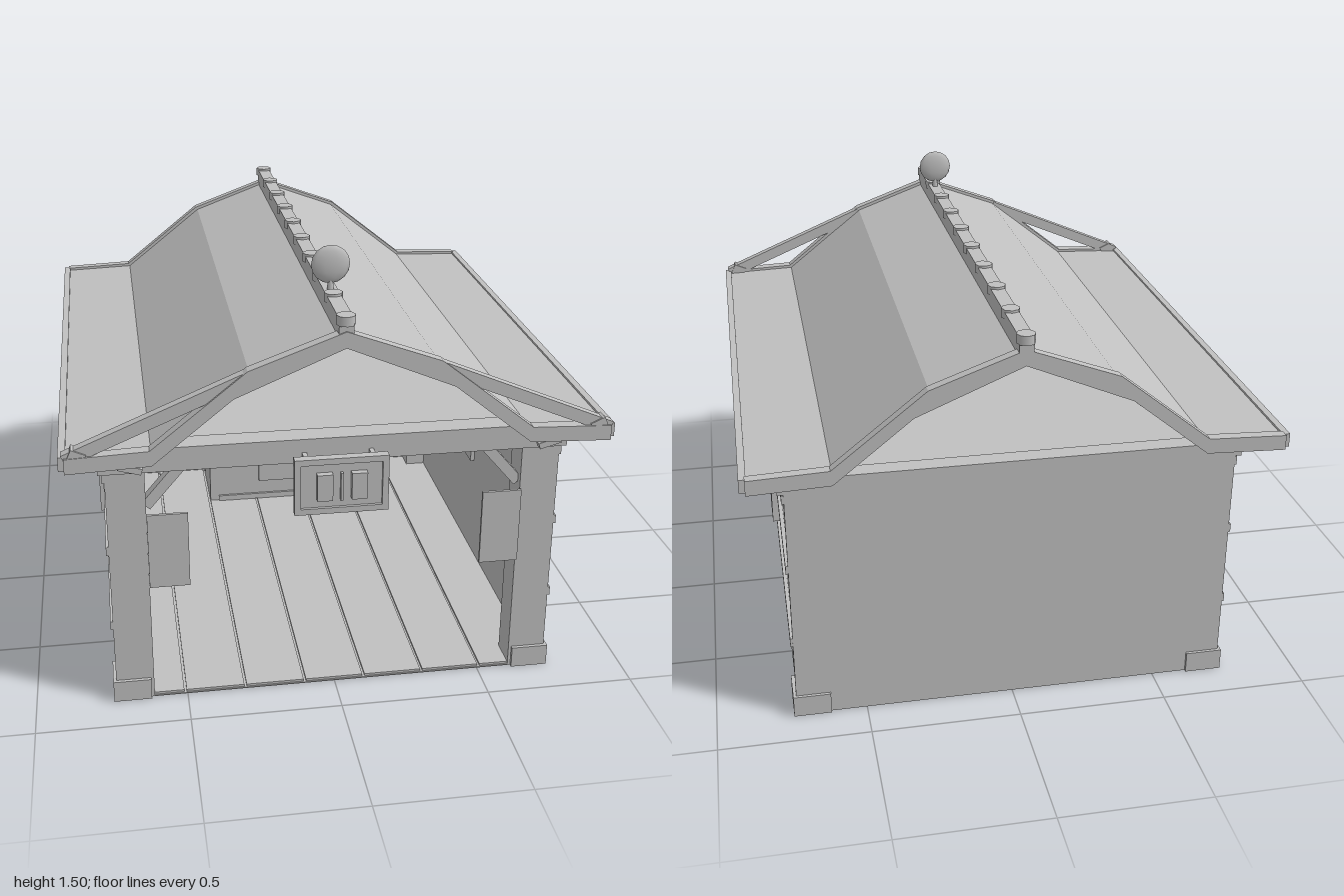
import * as THREE from 'three';

export function createModel() {
  const model = new THREE.Group();
  const grey = new THREE.MeshStandardMaterial({ color: 0xc0c0c0 });
  grey.name = 'plain grey';

  const add = (name, geo) => {
    const m = new THREE.Mesh(geo, grey);
    m.name = name;
    model.add(m);
    return m;
  };
  // Box given by its minimum and maximum on each axis
  const box = (name, x0, x1, y0, y1, z0, z1) => {
    const m = add(name, new THREE.BoxGeometry(Math.abs(x1 - x0), y1 - y0, z1 - z0));
    m.position.set((x0 + x1) / 2, (y0 + y1) / 2, (z0 + z1) / 2);
    return m;
  };
  // Slanted bar between two points in the xy plane
  const bar = (name, x0, y0, x1, y1, thick, z, depth) => {
    const m = add(name, new THREE.BoxGeometry(Math.hypot(x1 - x0, y1 - y0), thick, depth));
    m.position.set((x0 + x1) / 2, (y0 + y1) / 2, z);
    m.rotation.z = Math.atan2(y1 - y0, x1 - x0);
    return m;
  };
  // Symmetric roof section: half outlines run from ridge to eave
  const roofSection = (name, outer, inner, z0, z1) => {
    const mirror = (pts) => pts.slice(1).reverse().map(([x, y]) => [-x, y]);
    const pts = [...mirror(outer), ...outer, ...inner.slice().reverse(), ...inner.slice(1).map(([x, y]) => [-x, y])];
    const shape = new THREE.Shape(pts.map(([x, y]) => new THREE.Vector2(x, y)));
    const geo = new THREE.ExtrudeGeometry(shape, { depth: z1 - z0, bevelEnabled: false });
    geo.translate(0, 0, z0);
    return add(name, geo);
  };

  // Base and floor planks with narrow gaps
  box('base', -0.73, 0.73, 0, 0.004, -0.86, 0.855);
  const planks = 7, plankWidth = 1.42 / planks;
  for (let i = 0; i < planks; i++) {
    const x = -0.71 + i * plankWidth;
    box('floorPlank', x + 0.004, x + plankWidth - 0.004, 0.004, 0.012, -0.84, 0.85);
  }

  // Shell
  box('backWall', -0.735, 0.735, 0, 0.85, -0.865, -0.83);
  box('frontBeam', -0.755, 0.755, 0.835, 0.915, 0.785, 0.865);
  box('backBeam', -0.755, 0.755, 0.835, 0.885, -0.868, -0.805);
  box('ceiling', -0.735, 0.735, 0.835, 0.872, -0.805, 0.785);

  for (const s of [-1, 1]) {
    // Side wall, posts and feet
    box('sideWall', s * 0.7, s * 0.73, 0, 0.835, -0.86, 0.84);
    box('frontPost', s * 0.61, s * 0.735, 0, 0.835, 0.75, 0.855);
    box('frontFoot', s * 0.62, s * 0.745, 0, 0.075, 0.74, 0.867);
    box('backFoot', s * 0.62, s * 0.745, 0, 0.075, -0.875, -0.75);
    bar('cornerBrace', s * 0.61, 0.7, s * 0.49, 0.84, 0.035, 0.81, 0.04);

    // Outer wall battens and shutters
    for (const y of [0.27, 0.545, 0.8])
      box('wallBatten', s * 0.725, s * 0.743, y, y + 0.03, -0.862, 0.853);
    for (const z of [0.0625, -0.195])
      box('shutter', s * 0.728, s * 0.76, 0.365, 0.605, z, z + 0.125);
    box('windowFrame', s * 0.728, s * 0.745, 0.395, 0.56, -0.045, 0.04);
    box('innerWindow', s * 0.685, s * 0.705, 0.395, 0.56, -0.045, 0.04);

    // Hanging front panel
    box('hangingPanel', s * 0.48, s * 0.61, 0.43, 0.69, 0.866, 0.876);

    // Back wall frame and rack with pegs
    box('backStud', s * 0.32, s * 0.36, 0.055, 0.84, -0.84, -0.79);
    for (const y of [0.135, 0.325, 0.535]) {
      box('rackShelf', s * 0.39, s * 0.61, y, y + 0.022, -0.835, -0.76);
      for (let i = 0; i < 5; i++) {
        const x = 0.41 + i * 0.042;
        box('rackItem', s * (x - 0.011), s * (x + 0.011), y + 0.02, y + 0.105 + 0.012 * (i % 2), -0.81, -0.785);
      }
    }
    // Fan of tools on the board
    for (const [x0, x1] of [[0.02, 0.09], [0.055, 0.11], [0.1, 0.16]])
      if (s > 0 || x0 > 0.03) bar('hangingTool', s * x0, 0.63, s * x1, 0.44, 0.009, -0.765, 0.015);

    // Straight front gable strut and its eave pegs
    bar('gableStrut', s * 0.29, 1.18, s * 0.85, 0.945, 0.04, 0.965, 0.035);
    bar('eavePeg', s * 0.835, 0.965, s * 0.79, 0.945, 0.04, 0.965, 0.045);
    bar('strutPeg', s * 0.69, 0.915, s * 0.62, 0.895, 0.02, 0.97, 0.03);
  }

  // Back wall rails, board and counter
  box('upperRail', -0.61, 0.61, 0.7, 0.75, -0.84, -0.8);
  box('lowerRail', -0.61, 0.61, 0.1, 0.125, -0.84, -0.8);
  box('toolBoard', -0.21, 0.205, 0.4, 0.69, -0.8, -0.772);
  box('boardPost', -0.02, 0.02, 0.27, 0.7, -0.83, -0.8);
  box('counterBody', -0.3, 0.3, 0.012, 0.24, -0.8, -0.52);
  box('counterPlinth', -0.265, 0.265, 0.012, 0.035, -0.52, -0.51);
  box('counterTop', -0.315, 0.315, 0.24, 0.275, -0.82, -0.5);
  box('counterPanel', -0.09, 0.085, 0.095, 0.215, -0.52, -0.51);
  box('counterTray', 0.01, 0.19, 0.275, 0.29, -0.7, -0.57);
  const cup = add('counterCup', new THREE.CylinderGeometry(0.025, 0.025, 0.055, 8));
  cup.position.set(-0.165, 0.302, -0.62);

  // Hanging front sign: backing, raised rim and two plain blocks
  box('signBoard', -0.15, 0.15, 0.69, 0.88, 0.915, 0.935);
  for (const s of [-1, 1]) {
    box('signSideRim', s * 0.13, s * 0.15, 0.69, 0.88, 0.935, 0.945);
    box('signRim', -0.13, 0.13, s > 0 ? 0.86 : 0.69, s > 0 ? 0.88 : 0.71, 0.935, 0.945);
    box('signBlock', s * 0.03, s * 0.08, 0.74, 0.83, 0.935, 0.957);
    box('signHanger', s * 0.1, s * 0.115, 0.84, 0.87, 0.86, 0.92);
  }
  box('signDivider', -0.004, 0.004, 0.735, 0.83, 0.935, 0.95);

  // Bent roof with slightly heavier gable boards at both ends
  roofSection('roof',
    [[0, 1.3], [0.29, 1.193], [0.59, 0.955], [0.865, 0.945]],
    [[0, 1.265], [0.275, 1.163], [0.58, 0.92], [0.865, 0.91]], -0.96, 0.96);
  const boardOuter = [[0, 1.312], [0.297, 1.203], [0.595, 0.965], [0.85, 0.955]];
  const boardInner = [[0, 1.26], [0.34, 1.117], [0.59, 0.915], [0.85, 0.905]];
  roofSection('frontGableBoard', boardOuter, boardInner, 0.95, 0.99);
  roofSection('backGableBoard', boardOuter, boardInner, -0.985, -0.95);
  for (const s of [-1, 1])
    box('eaveBoard', s * 0.845, s * 0.868, 0.908, 0.953, -0.97, 0.97);

  // Ridge beam with evenly spaced caps
  box('ridgeBeam', -0.023, 0.023, 1.29, 1.352, -0.985, 0.985);
  for (let i = 0; i < 10; i++) {
    const cap = add('ridgeCap', new THREE.CylinderGeometry(0.03, 0.03, 0.03, 8));
    cap.position.set(0, 1.345, 0.97 - i * 0.2155);
  }

  // Flattened finial on a thin stem
  const stem = add('finialStem', new THREE.CylinderGeometry(0.008, 0.012, 0.06, 8));
  stem.position.set(0, 1.365, 0.7);
  const disc = add('finialDisc', new THREE.SphereGeometry(0.062, 10, 8));
  disc.scale.z = 0.28;
  disc.position.set(0, 1.433, 0.7);

  return model;
}
